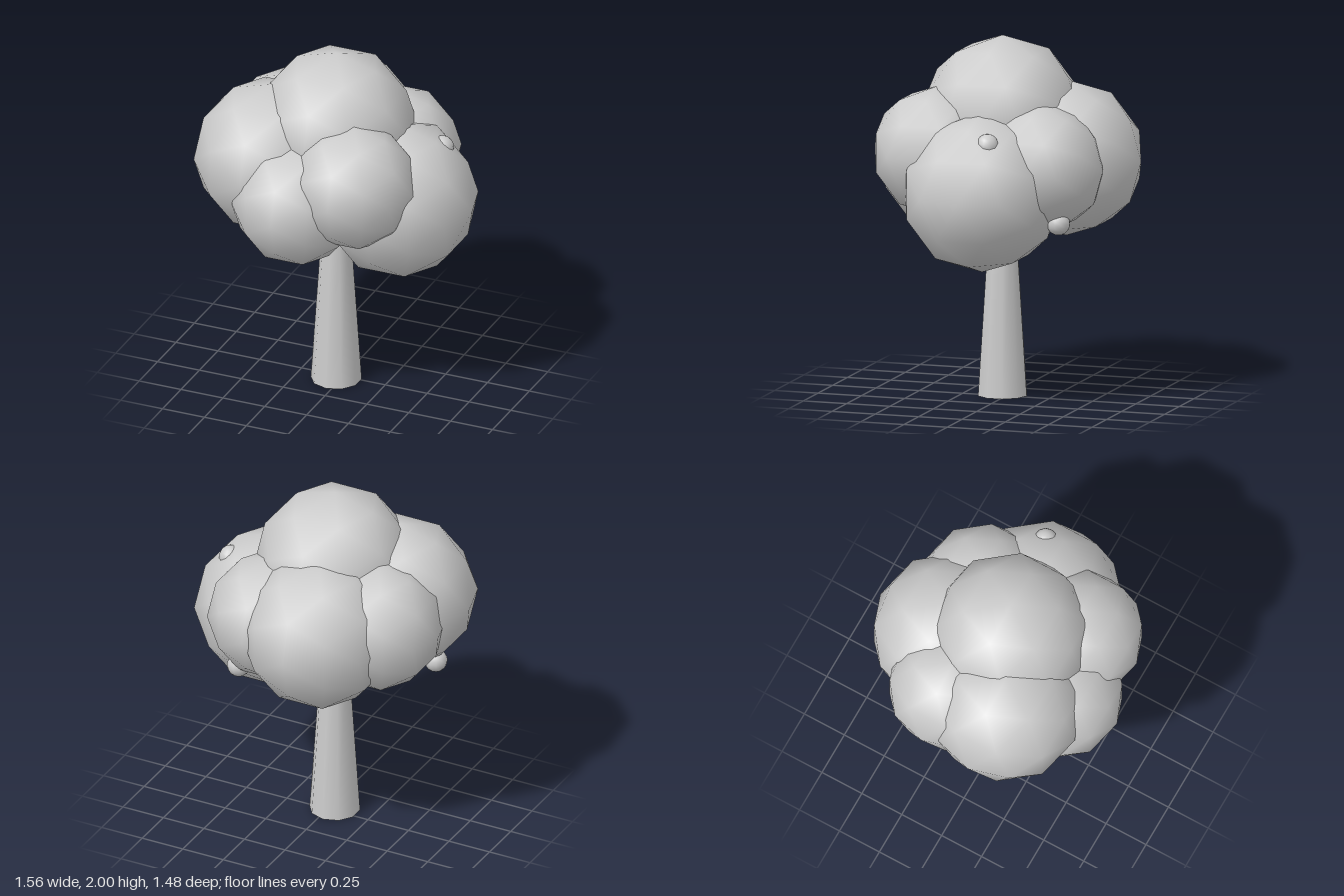
import * as THREE from 'three';

export function createModel() {
  const group = new THREE.Group();
  group.name = 'tree';
  const material = new THREE.MeshStandardMaterial({ color: 0xcccccc });

  function add(name, geometry, x, y, z) {
    const mesh = new THREE.Mesh(geometry, material);
    mesh.name = name;
    mesh.position.set(x, y, z);
    group.add(mesh);
  }

  // Tapered ten-sided trunk
  add('trunk', new THREE.CylinderGeometry(0.084, 0.14, 0.86, 10), -0.03, 0.43, 0.03);

  // Crown of overlapping low-poly balls: name, x, y, z, radius
  const foliage = [
    ['topFoliage', -0.03, 1.555, 0.03, 0.445],
    ['leftFoliage', 0.335, 1.19, 0.025, 0.445],
    ['frontRightFoliage', -0.35, 1.38, 0.18, 0.43],
    ['frontLeftFoliage', 0.205, 1.38, 0.33, 0.357],
    ['frontFoliage', -0.11, 1.245, 0.38, 0.36],
    ['backFoliage', -0.11, 1.325, -0.31, 0.433],
    ['backLeftFoliage', 0.2, 1.32, -0.27, 0.357],
    ['backRightFoliage', -0.38, 1.35, -0.13, 0.37],
  ];
  for (const [name, x, y, z, r] of foliage) {
    add(name, new THREE.IcosahedronGeometry(r, 1), x, y, z);
  }

  // Small round fruits set into the crown
  const fruits = [
    ['rightFruit', -0.6, 1.04, 0.13],
    ['leftFruit', 0.555, 1.49, -0.08],
    ['backFruit', 0.33, 1.04, -0.415],
  ];
  for (const [name, x, y, z] of fruits) {
    add(name, new THREE.SphereGeometry(0.065, 12, 10), x, y, z);
  }

  return group;
}
